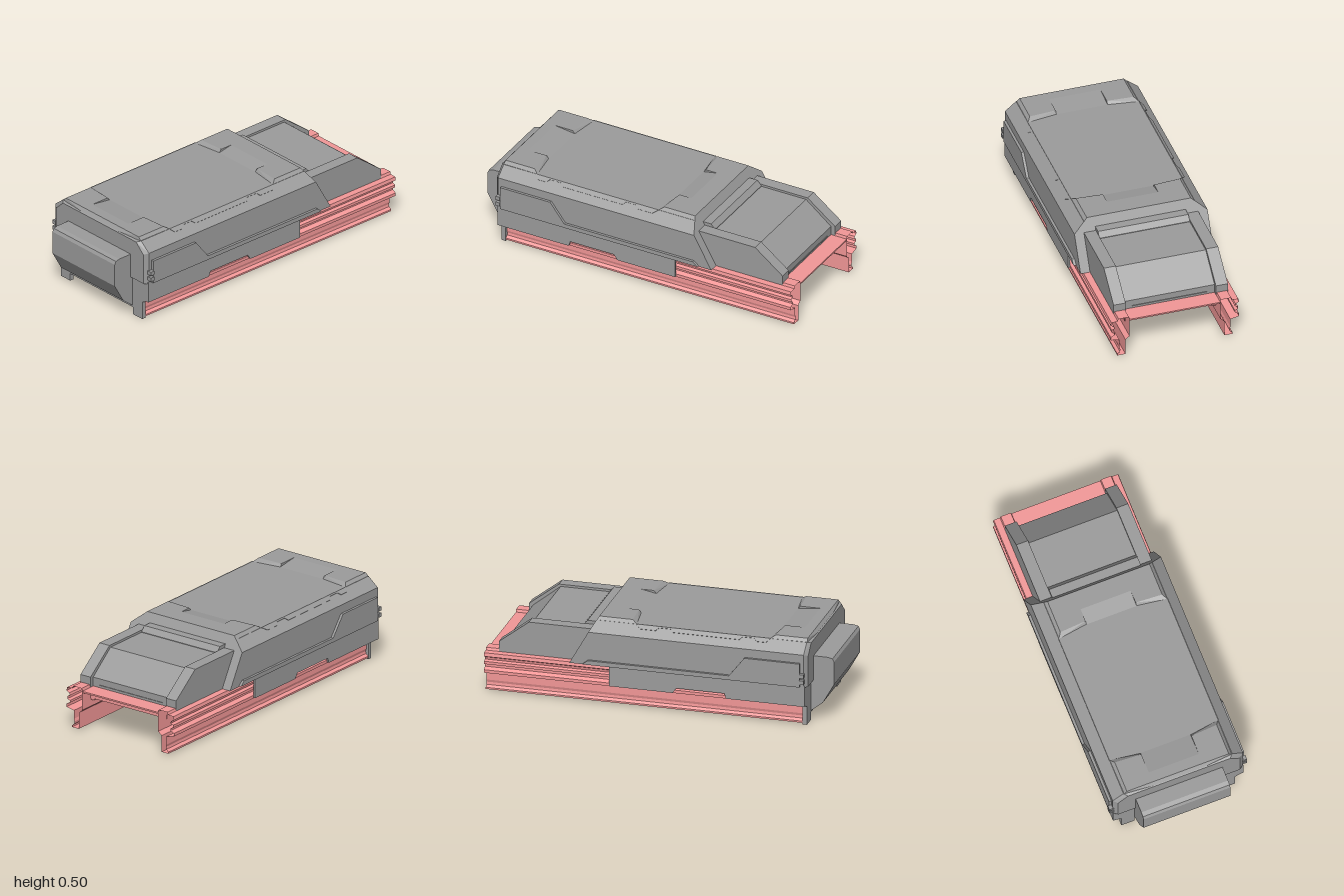
import * as THREE from 'three';
import { ConvexGeometry } from 'three/addons/geometries/ConvexGeometry.js';

const grey = new THREE.MeshStandardMaterial({ color: 0x9b9b9b, flatShading: true, side: THREE.DoubleSide });
const pink = new THREE.MeshStandardMaterial({ color: 0xf29797, flatShading: true, side: THREE.DoubleSide });

const extrude = (pts, depth) => new THREE.ExtrudeGeometry(
  new THREE.Shape(pts.map(([a, b]) => new THREE.Vector2(a, b))), { depth, bevelEnabled: false });

// Side profile in (x, y), extruded from z0 to z1
const slab = (pts, z0, z1) => extrude(pts, z1 - z0).translate(0, 0, z0);

const convex = (pts) => new ConvexGeometry(pts.map((p) => new THREE.Vector3(...p)));

function block(x0, x1, y0, y1, z0, z1) {
  return new THREE.BoxGeometry(x1 - x0, y1 - y0, z1 - z0)
    .translate((x0 + x1) / 2, (y0 + y1) / 2, (z0 + z1) / 2);
}

function fromPositions(positions) {
  const g = new THREE.BufferGeometry();
  g.setAttribute('position', new THREE.Float32BufferAttribute(positions, 3));
  g.computeVertexNormals();
  return g;
}

// Open sheet: a (z, y) profile swept along x
function sheet(profile, x0, x1) {
  const pos = [];
  for (let i = 0; i < profile.length - 1; i++) {
    const [za, ya] = profile[i], [zb, yb] = profile[i + 1];
    pos.push(x0, ya, za, x0, yb, zb, x1, yb, zb, x0, ya, za, x1, yb, zb, x1, ya, za);
  }
  return fromPositions(pos);
}

// Reflected copy across z = 0, with the winding reversed
function mirrorZ(geometry) {
  const g = geometry.index ? geometry.toNonIndexed() : geometry;
  const p = g.attributes.position;
  const v = [];
  for (let i = 0; i < p.count; i += 3)
    for (const k of [i, i + 2, i + 1]) v.push(p.getX(k), p.getY(k), -p.getZ(k));
  return fromPositions(v);
}

// Convex shell left open underneath
function openHull(points, floor) {
  const p = convex(points).attributes.position;
  const v = [];
  for (let i = 0; i < p.count; i += 3) {
    if (Math.max(p.getY(i), p.getY(i + 1), p.getY(i + 2)) < floor) continue;
    for (let k = i; k < i + 3; k++) v.push(p.getX(k), p.getY(k), p.getZ(k));
  }
  return fromPositions(v);
}

export function createModel() {
  const model = new THREE.Group();
  model.name = 'railMountedHousing';
  const add = (name, geometry, material = grey) => {
    const mesh = new THREE.Mesh(geometry, material);
    mesh.name = name;
    model.add(mesh);
  };
  const addPair = (name, geometry, material = grey) => {
    add(name + 'Left', geometry, material);
    add(name + 'Right', mirrorZ(geometry), material);
  };

  // Main housing: chamfered shell with a raked front and bevelled back
  const top = 0.505, sunk = 0.488;
  const rake = (y) => 0.35 + (top - y) * 0.566;
  const hull = [];
  for (const s of [1, -1]) {
    for (const [z, y] of [[0.39, 0.24], [0.39, 0.435], [0.3256, sunk]])
      hull.push([-0.86, y, s * z], [rake(y), y, s * z]);
    for (const [z, y] of [[0.365, 0.24], [0.365, 0.424], [0.305, 0.48]])
      hull.push([-0.88, y, s * z]);
  }
  add('housing', openHull(hull, 0.25));

  // Raised corners of the roof around the sunken middle
  const base = sunk - 0.002;
  addPair('frontRoofCorner', convex([
    [0.15, base, 0.15], [0.125, base, 0.326], [rake(base), base, 0.15], [rake(base), base, 0.326],
    [0.165, top, 0.15], [0.155, top, 0.305], [0.35, top, 0.15], [0.35, top, 0.305],
  ]));
  addPair('rearRoofCorner', convex([
    [-0.67, base, 0.15], [-0.645, base, 0.326], [-0.876, base, 0.15], [-0.862, base, 0.324],
    [-0.685, top, 0.15], [-0.675, top, 0.305], [-0.86, top, 0.15], [-0.86, top, 0.305],
  ]));

  // Ramps that rise from the sunken middle between the corners
  add('frontRoofRamp', slab([
    [0.15, base], [rake(base), base], [0.35, top], [0.24, top], [0.15, sunk],
  ], -0.15, 0.15));
  add('rearRoofRamp', slab([
    [-0.67, sunk], [-0.8, top], [-0.86, top], [-0.876, base], [-0.67, base],
  ], -0.15, 0.15));

  // Notched lip on each chamfer along the sunken middle
  const slope = Math.hypot(0.07, 0.085);
  const lip = extrude([
    [-0.65, 0.083], [-0.63, 0.054], [-0.575, 0.054], [-0.56, 0.074],
    [-0.49, 0.074], [-0.475, 0.054], [-0.09, 0.054], [-0.075, 0.074], [-0.005, 0.074],
    [0.01, 0.054], [0.1, 0.054], [0.13, 0.083],
  ], 0.004);
  lip.applyMatrix4(new THREE.Matrix4().makeBasis(
    new THREE.Vector3(1, 0, 0),
    new THREE.Vector3(0, 0.07, -0.085).divideScalar(slope),
    new THREE.Vector3(0, 0.085, 0.07).divideScalar(slope),
  ).setPosition(0, 0.434, 0.389));
  addPair('roofLip', lip);

  // Side skirt with a shallow cut-out along its lower edge
  addPair('sideSkirt', slab([
    [-0.86, 0.125], [-0.41, 0.125], [-0.4, 0.155], [-0.12, 0.155], [-0.1, 0.125],
    [0.27, 0.125], [0.27, 0.245], [-0.86, 0.245],
  ], 0.378, 0.39));

  // Raised side trim and its small catches
  addPair('sideTrim', slab([
    [-0.84, 0.245], [0.42, 0.245], [0.39, 0.27], [-0.43, 0.27],
    [-0.52, 0.385], [-0.84, 0.385],
  ], 0.388, 0.405));
  for (const y of [0.265, 0.302])
    addPair('catch', block(-0.865, -0.84, y, y + 0.023, 0.385, 0.412));

  // Front nose: two cheeks, a sunken centre and a ridge at the housing
  addPair('noseCheek', slab([
    [0.37, 0.24], [0.925, 0.24], [0.925, 0.3], [0.75, 0.435], [0.37, 0.435],
  ], 0.265, 0.335));
  add('noseCentre', slab([
    [0.37, 0.24], [0.9, 0.24], [0.9, 0.293], [0.74, 0.422], [0.37, 0.422],
  ], -0.265, 0.265));
  add('noseRidge', slab([
    [0.37, 0.4], [0.455, 0.4], [0.455, 0.425], [0.43, 0.455], [0.37, 0.455],
  ], -0.265, 0.265));
  add('noseSlot', block(0.89, 0.904, 0.252, 0.256, -0.22, 0.22));

  // Rear bumper
  add('bumper', slab([
    [-0.865, 0.385], [-0.965, 0.385], [-0.99, 0.378], [-1, 0.36],
    [-1, 0.225], [-0.935, 0.11], [-0.865, 0.055],
  ], -0.26, 0.26));

  // Rear end plate with two feet
  const half = [[0.262, 0.045], [0.262, 0], [0.34, 0], [0.34, 0.108], [0.375, 0.125], [0.39, 0.125], [0.39, 0.25]];
  const outline = half.concat(half.map(([z, y]) => [-z, y]).reverse());
  add('endPlate', extrude(outline, 0.025).rotateY(-Math.PI / 2).translate(-0.84, 0, 0));

  // Curved fairing on the inner side of the end plate
  add('innerFairing', slab([
    [-0.845, 0.095], [-0.825, 0.108], [-0.808, 0.128], [-0.795, 0.15],
    [-0.785, 0.175], [-0.845, 0.175],
  ], -0.24, 0.24));

  // Moulded side rails with a plain inner wall
  addPair('rail', sheet([
    [0.266, 0.24], [0.27, 0.255], [0.33, 0.255], [0.335, 0.24], [0.372, 0.238],
    [0.376, 0.218], [0.356, 0.208], [0.352, 0.193], [0.37, 0.186], [0.37, 0.17],
    [0.352, 0.163], [0.352, 0.15], [0.376, 0.138], [0.376, 0.12], [0.325, 0.11],
    [0.325, 0.06], [0.32, 0.045], [0.322, 0.03], [0.338, 0.018], [0.338, 0.008],
    [0.29, 0.008], [0.29, 0.105], [0.266, 0.125], [0.266, 0.24],
  ], -0.84, 1), pink);

  // Lining of the cavity inside the housing
  add('cavityLining', sheet([
    [-0.268, 0.24], [-0.268, 0.47], [0.268, 0.47], [0.268, 0.24],
  ], -0.84, 0.365), pink);

  // Front deck and the cross members beneath it
  add('deck', block(0.365, 1, 0.23, 0.239, -0.266, 0.266), pink);
  for (const x of [0.4, 0.9])
    add('crossMember', block(x, x + 0.015, 0.175, 0.235, -0.266, 0.266), pink);
  add('crossBar', block(0.89, 0.925, 0.177, 0.198, -0.27, 0.27), pink);
  addPair('crossBracket', block(0.89, 0.92, 0.165, 0.18, 0.242, 0.266), pink);
  return model;
}
